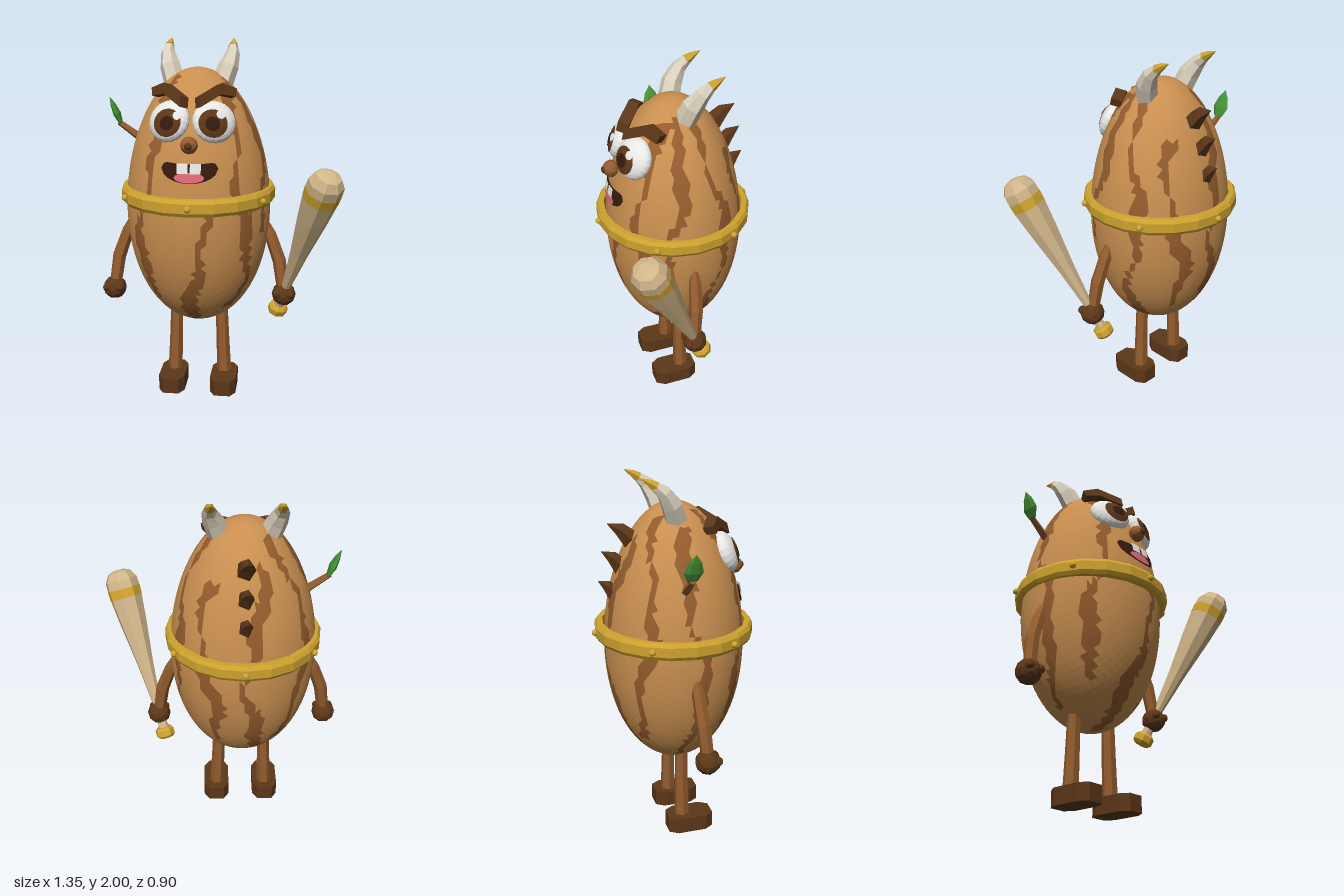
import * as THREE from 'three';

const CX = -0.12; // body axis
const mat = (name, color) => Object.assign(new THREE.MeshStandardMaterial({ color, flatShading: true, side: THREE.DoubleSide }), { name });
const M = {
  body: mat('tan skin', 0xc98f50), bark: mat('brown bark', 0x945c2e), dark: mat('dark brown', 0x5c3719),
  gold: mat('gold', 0xcfa32f), horn: mat('horn cream', 0xd9d0bc), club: mat('club wood', 0xd2b68a),
  white: mat('white', 0xf2f2f0), leaf: mat('leaf green', 0x449136), pink: mat('tongue pink', 0xe0697a),
  black: mat('darkest brown', 0x351a0d),
};

export function createModel() {
  const root = new THREE.Group();
  const add = (name, geo, m, x = 0, y = 0, z = 0, parent = root) => {
    const mesh = new THREE.Mesh(geo, m);
    mesh.name = name;
    mesh.position.set(x, y, z);
    parent.add(mesh);
    return mesh;
  };

  // Closed tapered sweep through points with one radius per point
  const sweep = (pts, radii, sides) => {
    const P = pts.map(p => new THREE.Vector3(...p));
    P.unshift(P[0].clone()); P.push(P[P.length - 1].clone());
    const R = [0, ...radii, 0], pos = [], idx = [];
    const last = P.length - 1;
    const ref = Math.abs(P[last].z - P[0].z) > Math.abs(P[last].y - P[0].y) ? new THREE.Vector3(0, 1, 0) : new THREE.Vector3(0, 0, 1);
    P.forEach((p, i) => {
      const t = P[Math.min(last, Math.max(2, i + 1))].clone().sub(P[Math.max(0, Math.min(last - 2, i - 1))]).normalize();
      const n = ref.clone().cross(t).normalize(), b = t.clone().cross(n);
      for (let j = 0; j < sides; j++) {
        const a = j / sides * Math.PI * 2;
        pos.push(...p.clone().addScaledVector(n, Math.cos(a) * R[i]).addScaledVector(b, Math.sin(a) * R[i]).toArray());
        if (i === last) continue;
        const k = i * sides + j, k1 = i * sides + (j + 1) % sides;
        idx.push(k, k1, k + sides, k1, k1 + sides, k + sides);
      }
    });
    const g = new THREE.BufferGeometry();
    g.setAttribute('position', new THREE.Float32BufferAttribute(pos, 3));
    g.setIndex(idx);
    g.computeVertexNormals();
    return g;
  };

  // Egg body: jagged bark stripes are whole facets picked by a rule
  // each stripe: angle from the front, lowest y, highest y
  const stripes = [[-0.7, 0.62, 1.82], [0.08, 0.42, 1.17], [0.8, 0.55, 1.78], [1.25, 1.0, 1.8], [1.95, 0.5, 1.8],
    [2.6, 0.6, 1.6], [3.3, 0.45, 1.7], [4.0, 0.6, 1.8], [4.75, 0.5, 1.75]];
  const egg = new THREE.IcosahedronGeometry(1, 13);
  const ep = egg.attributes.position, plain = [], striped = [];
  for (let f = 0; f < ep.count; f += 3) {
    let x = 0, y = 0, z = 0;
    for (let k = f; k < f + 3; k++) { x += ep.getX(k); y += ep.getY(k) / 3; z += ep.getZ(k); }
    const angle = Math.atan2(x, z), h = 1.14 + 0.72 * y, ring = Math.sqrt(Math.max(0.03, 1 - y * y));
    const hit = stripes.some(([a, lo, hi], i) => {
      const c = a + 0.13 * Math.sin(h * 5.5 + i * 1.9) + 0.05 * Math.sin(h * 17 + i);
      const d = Math.atan2(Math.sin(angle - c), Math.cos(angle - c));
      return h > lo && h < hi && Math.abs(d) * ring < 0.075 + 0.035 * Math.sin(h * 9 + i * 2.3);
    });
    (hit ? striped : plain).push(f, f + 1, f + 2);
  }
  for (let i = 0; i < ep.count; i++) {
    const y = ep.getY(i), taper = 1 - 0.07 * y;
    ep.setXYZ(i, ep.getX(i) * 0.4 * taper, 1.14 + 0.72 * y, ep.getZ(i) * 0.375 * taper - 0.01);
  }
  egg.setIndex([...plain, ...striped]);
  egg.addGroup(0, plain.length, 0);
  egg.addGroup(plain.length, striped.length, 1);
  egg.computeVertexNormals();
  add('body', egg, [M.body, M.bark], CX);

  // Thin painted patch wrapped on the front of the egg; fn(s, t) gives offset x and y
  const patch = (name, m, lift, fn) => {
    const g = new THREE.PlaneGeometry(2, 1, 20, 6), p = g.attributes.position;
    for (let i = 0; i < p.count; i++) {
      const [dx, y] = fn(p.getX(i), p.getY(i) + 0.5), u = (y - 1.14) / 0.72;
      const r = Math.sqrt(1 - u * u) * (1 - 0.07 * u);
      p.setXYZ(i, dx, y, Math.sqrt(r * r - (dx / 0.4) ** 2) * 0.375 - 0.01 + lift);
    }
    g.computeVertexNormals();
    add(name, g, m, CX);
  };
  const arc = s => Math.sqrt(Math.max(0, 1 - s * s));
  patch('mouth', M.black, 0.008, (s, t) => {
    const top = 1.375 + 0.037 * arc(s ** 4) - 0.014 * (1 - s * s), bottom = 1.375 - 0.075 * arc(s);
    return [s * 0.148, bottom + (top - bottom) * t];
  });
  patch('tongue', M.pink, 0.014, (s, t) => [s * 0.08, 1.33 + arc(s) * 0.026 * (2 * t - 1)]);
  for (const side of [-1, 1]) patch('tooth', M.white, 0.02, (s, t) => [side * 0.034 + s * 0.028, 1.352 + t * 0.052]);

  // Nose
  add('nose', new THREE.IcosahedronGeometry(0.046, 1), M.bark, CX, 1.495, 0.332);
  add('noseTip', new THREE.IcosahedronGeometry(0.022, 1), M.dark, CX, 1.495, 0.364);

  // Belt with six studs
  const beltProfile = [[0.385, 1.135], [0.415, 1.135], [0.428, 1.155], [0.428, 1.205], [0.415, 1.225], [0.385, 1.225], [0.385, 1.135]];
  add('belt', new THREE.LatheGeometry(beltProfile.map(p => new THREE.Vector2(...p)), 20), M.gold, CX, 0, -0.01);
  for (let i = 0; i < 6; i++) {
    const a = i * Math.PI / 3;
    add('beltStud', new THREE.IcosahedronGeometry(0.018, 1), M.gold, CX + Math.sin(a) * 0.43, 1.18, -0.01 + Math.cos(a) * 0.43);
  }

  for (const s of [-1, 1]) {
    // Eye: flattened ball with iris, pupil and glint as thin caps
    const eye = new THREE.Group();
    eye.name = 'eye';
    eye.position.set(CX + s * 0.116, 1.6, 0.235);
    eye.rotation.set(-0.42, s * 0.4, 0, 'YXZ');
    root.add(eye);
    const cap = (name, m, theta, grow, yaw, pitch) => {
      const g = new THREE.SphereGeometry(1, 20, theta > 3 ? 14 : 4, 0, Math.PI * 2, 0, theta);
      g.rotateX(Math.PI / 2).rotateX(pitch).rotateY(yaw).scale(0.115 * grow, 0.112 * grow, 0.062 * grow);
      add(name, g, m, 0, 0, 0, eye);
    };
    cap('eyeball', M.white, Math.PI, 1, 0, 0);
    cap('iris', M.dark, 0.7, 1.03, -s * 0.22, 0.22);
    cap('pupil', M.black, 0.32, 1.07, -s * 0.22, 0.22);
    cap('glint', M.white, 0.19, 1.1, -s * 0.22 + 0.4, -0.17);

    // Bent angry brow
    const brow = new THREE.Shape([[-0.11, -0.07], [0.02, -0.012], [0.1, -0.03], [0.115, 0.012], [0.03, 0.045], [-0.105, -0.015]]
      .map(([x, y]) => new THREE.Vector2(x * s, y)));
    const b = add('brow', new THREE.ExtrudeGeometry(brow, { depth: 0.06, bevelEnabled: false }), M.dark, CX + s * 0.1, 1.735, 0.155);
    b.rotation.set(-0.25, s * 0.62, 0, 'YXZ');

    // Horn with gold tip
    const hx = d => CX + s * d;
    add('horn', sweep([[hx(0.125), 1.76, -0.03], [hx(0.16), 1.86, -0.065], [hx(0.178), 1.925, -0.11], [hx(0.177), 1.96, -0.155]],
      [0.06, 0.056, 0.04, 0.026], 6), M.horn);
    add('hornTip', sweep([[hx(0.177), 1.957, -0.15], [hx(0.176), 1.975, -0.18], [hx(0.174), 2.0, -0.23]], [0.028, 0.02, 0.001], 6), M.gold);

    // Leg and chamfered foot
    add('leg', sweep([[hx(0.13), 0.55, 0], [hx(0.138), 0.3, 0], [hx(0.147), 0.08, 0]], [0.034, 0.038, 0.042], 6), M.bark);
    const sole = [[-0.075, -0.08], [-0.045, -0.128], [0.045, -0.128], [0.075, -0.08], [0.075, 0.08], [0.045, 0.128], [-0.045, 0.128], [-0.075, 0.08]];
    const foot = new THREE.ExtrudeGeometry(new THREE.Shape(sole.map(p => new THREE.Vector2(...p))), { depth: 0.09, bevelEnabled: false });
    add('foot', foot.rotateX(-Math.PI / 2), M.dark, hx(0.15), 0, 0.043);

    // Arm and knobbly hand
    add('arm', sweep([[hx(0.37), 1.03, 0], [hx(0.405), 0.94, 0.005], [hx(0.46), 0.79, 0.018], [hx(0.487), 0.61, 0.035]],
      [0.015, 0.034, 0.038, 0.034], 6), M.bark);
    add('hand', new THREE.IcosahedronGeometry(0.068, 1), M.dark, hx(0.49), 0.597, 0.035);
    for (const k of [-1, 1]) add('finger', new THREE.IcosahedronGeometry(0.024, 1), M.dark, hx(0.49) + k * 0.036, 0.61, 0.08);
  }

  // Three curved thorns down the back
  for (const [y, z, ty, tz, r] of [[1.66, -0.23, 1.755, -0.36, 0.055], [1.52, -0.285, 1.615, -0.395, 0.05], [1.38, -0.325, 1.46, -0.415, 0.045]]) {
    add('backThorn', sweep([[CX, y, z], [CX, y * 0.4 + ty * 0.6 + 0.008, z * 0.5 + tz * 0.5], [CX, ty, tz]], [r, r * 0.65, 0.001], 5), M.dark);
  }

  // Twig with a leaf
  add('twig', sweep([[-0.43, 1.45, -0.045], [-0.5, 1.5, -0.045], [-0.57, 1.55, -0.045]], [0.024, 0.02, 0.016], 5), M.bark);
  const leafProfile = [[0, 0], [0.6, 0.2], [1, 0.45], [0.65, 0.75], [0, 1]].map(p => new THREE.Vector2(...p));
  const leaf = add('leaf', new THREE.LatheGeometry(leafProfile, 6).scale(0.018, 0.185, 0.05), M.leaf, -0.548, 1.52, -0.045);
  leaf.rotation.z = 0.4;

  // Club: straight sweep split where the colour changes
  const along = t => [0.335 + 0.253 * t, 0.48 + 0.88 * t, -0.02 + 0.39 * t];
  const clubPart = (name, m, ts, rs) => add(name, sweep(ts.map(along), rs, 8), m);
  clubPart('clubPommel', M.gold, [-0.025, -0.01, 0.025, 0.04], [0.042, 0.056, 0.056, 0.042]);
  clubPart('clubShaft', M.club, [0.03, 0.2, 0.45, 0.7, 0.85], [0.03, 0.026, 0.049, 0.08, 0.095]);
  clubPart('clubBand', M.gold, [0.85, 0.905], [0.096, 0.098]);
  clubPart('clubHead', M.club, [0.905, 0.955, 1.0, 1.015], [0.097, 0.095, 0.068, 0.03]);

  return root;
}
